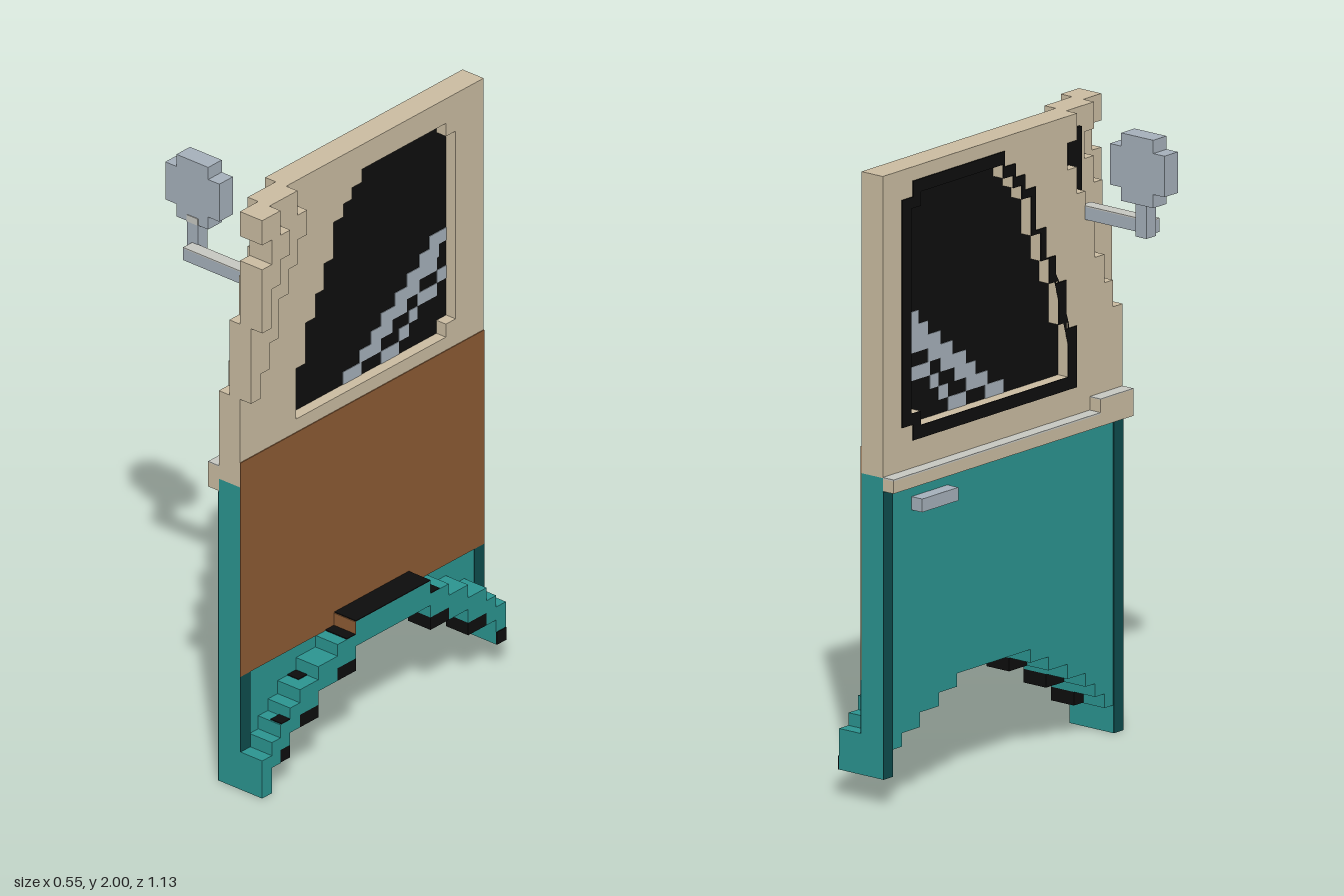
import * as THREE from 'three';

export function createModel() {
  const root = new THREE.Group();
  const mat = (name, color) => {
    const m = new THREE.MeshStandardMaterial({ color });
    m.name = name;
    return m;
  };
  const cream = mat('cream', 0xcabca1), teal = mat('teal', 0x2b9490), darkTeal = mat('darkTeal', 0x0d4c4d);
  const brown = mat('brown', 0x8c5b34), black = mat('black', 0x0d0d0d);
  const grey = mat('greyMetal', 0xa5b0ba), silver = mat('silver', 0xc6c7c1);

  // Adds a mesh; with "under" set, its downward faces take that second colour
  const add = (name, geo, m, under) => {
    if (under) {
      if (geo.index) geo = geo.toNonIndexed();
      geo.clearGroups();
      const n = geo.attributes.normal;
      for (let i = 0; i < n.count; i += 3) geo.addGroup(i, 3, n.getY(i) < -0.9 ? 1 : 0);
    }
    const mesh = new THREE.Mesh(geo, under ? [m, under] : m);
    mesh.name = name;
    root.add(mesh);
    return mesh;
  };
  // Box between two corners
  const box = (name, m, x0, x1, y0, y1, z0, z1, under) => add(name,
    new THREE.BoxGeometry(x1 - x0, y1 - y0, z1 - z0)
      .translate((x0 + x1) / 2, (y0 + y1) / 2, (z0 + z1) / 2), m, under);
  // Stepped path: start point, then alternating new y and new z values
  const stairs = (z, y, vals) => {
    const pts = [[z, y]];
    vals.forEach((v, i) => { if (i % 2) z = v; else y = v; pts.push([z, y]); });
    return pts;
  };
  const vecs = pts => pts.map(p => new THREE.Vector2(...p));
  // Layer cut from a (z, y) outline, spanning x0 to x1
  const layer = (name, m, x0, x1, pts, hole, under) => {
    const shape = new THREE.Shape(vecs(pts));
    if (hole) shape.holes.push(new THREE.Path(vecs(hole)));
    const g = new THREE.ExtrudeGeometry(shape, { depth: x1 - x0, bevelEnabled: false });
    return add(name, g.rotateY(-Math.PI / 2).translate(x1, 0, 0), m, under);
  };

  const X0 = 0.095, XM = 0.1375, X1 = 0.18, X2 = 0.225, X3 = 0.27, Z = 0.565;

  // Window outline, stepped along its front edge
  const win = stairs(0.305, 1.175, [1.35, 0.26, 1.49, 0.215, 1.57, 0.175, 1.66, 0.13, 1.785, 0.085,
    1.83, 0.045, 1.87, 0, 1.915, -0.39, 1.87, -0.435, 1.22, -0.39, 1.175]);
  // Stepped front pillar edges
  const edgeLow = stairs(0.565, 1.35, [1.35, 0.52, 1.435, 0.48, 1.525, 0.435, 1.66, 0.39, 1.745, 0.35,
    1.83, 0.305, 1.915, 0.35, 2]);
  const edgeHigh = stairs(0.565, 1.61, [1.61, 0.52, 1.745, 0.48, 1.83, 0.435, 1.915, 0.48, 2]);
  const back = [[-Z, 2], [-Z, 1.045], [Z, 1.045]];
  const notch = [[Z, 2], [Z, 1.915], [0.52, 1.915], [0.52, 1.83], [Z, 1.83]];
  layer('outerFrame', cream, X0, XM, [...edgeLow, ...back], win, black);
  layer('innerFrame', cream, XM, X1, [...edgeHigh, ...back], win);
  layer('pillarStep', cream, X1, X2, [...edgeLow, ...notch], null, black);
  layer('pillarTip', cream, X2, X3, [...edgeHigh, ...notch], null, black);
  box('pillarSeal', black, 0.127, 0.1375, 1.65, 1.94, 0.345, 0.41);

  // Glass, its outer seal and glints on both faces
  layer('glass', black, 0.133, 0.142, win);
  const grown = win.map(([z, y]) => [-0.065 + (z + 0.065) * 1.11, 1.545 + (y - 1.545) * 1.11]);
  layer('windowSeal', black, X0 - 0.004, X0, grown, win);
  const glints = [ // row, front z, back z
    [0, 0.045, -0.04], [1, -0.03, -0.13], [2, -0.085, -0.185], [3, -0.13, -0.25], [4, -0.195, -0.31],
    [5, -0.25, -0.39], [6, -0.31, -0.4], [7, -0.355, -0.435],
    [0, -0.13, -0.215], [1, -0.215, -0.26], [2, -0.26, -0.3], [3, -0.3, -0.39], [4, -0.39, -0.435]];
  for (const [r, za, zb] of glints) {
    const y = 1.175 + r * 0.0437;
    box('glint', grey, 0.131, 0.144, y, y + 0.0437, zb, za);
  }

  // Wheel arch columns: front z, back z, bottom, top, dark lower cell
  const front = [
    [0.565, 0.52, 0, 0.13, 0], [0.52, 0.48, 0.088, 0.175, 0], [0.48, 0.435, 0.09, 0.22, 1],
    [0.435, 0.39, 0.175, 0.26, 0], [0.39, 0.305, 0.175, 0.305, 1],
    [0.305, 0.215, 0.265, 0.35, 0], [0.215, 0.13, 0.265, 0.39, 1]];
  const rear = front.slice(2).reverse().map(([a, b, lo, hi, d]) => [-b - 0.085, -a - 0.085, lo, hi, d]);
  const columns = [...front, [0.13, -0.215, 0.35, 0.435, 0], ...rear];
  const lower = [[-Z, 1.045], [Z, 1.045]];
  columns.forEach(([a, b, lo, hi, dark], i) => {
    const last = i === columns.length - 1;
    const mid = lo + (dark ? 0.043 : 0);
    box('archFlare', teal, X1, X3, last ? lo : mid, hi, b, a, black);
    if (dark && last) box('archEdge', black, X3, X3 + 0.003, lo, mid, b, a);
    else if (dark) box('archEdge', black, X1, X3, lo, mid, b, a);
    lower.push([a, last ? lo : mid], [b, last ? lo : mid]);
  });
  layer('lowerDoor', teal, X0, X1, lower.reverse(), null, black);

  // Painted faces on the arch
  box('archTop', black, X1, X3, 0.435, 0.438, -0.215, 0.13);
  box('archTop', black, X1, X3, 0.39, 0.393, 0.13, 0.172);
  box('archTop', black, X1, X3, 0.39, 0.393, -0.258, -0.215);
  box('archTop', black, X1, X2, 0.305, 0.308, 0.305, 0.345);
  box('archTop', black, X2, X3, 0.22, 0.223, 0.435, 0.475);
  box('archFront', brown, X1, X3, 0.393, 0.435, 0.13, 0.133);

  // Inner trim panel and dark edge strips
  box('trimPanel', brown, X1, X1 + 0.003, 0.39, 1.13, -Z, Z);
  box('edgeStrip', darkTeal, X1, X1 + 0.003, 0.13, 0.39, 0.52, Z);
  box('edgeStrip', darkTeal, X1, X1 + 0.003, 0.22, 0.39, -Z, -0.52);
  box('edgeStrip', darkTeal, X0 - 0.003, X0, 0, 1.0, 0.52, Z);
  box('edgeStrip', darkTeal, X0 - 0.003, X0, 0.09, 1.0, -Z, -0.52);

  // Outer belt moulding and handle
  box('belt', cream, 0.052, X0, 1.003, 1.042, -Z, Z);
  box('beltTop', silver, 0.052, X0, 1.042, 1.047, -Z, 0.41);
  box('beltEnd', cream, 0.052, X0, 1.042, 1.087, 0.41, Z);
  box('beltEndTop', silver, 0.052, X0, 1.087, 1.09, 0.41, Z);
  box('handle', grey, 0.052, X0, 0.915, 0.957, -0.43, -0.26);

  // Wing mirror on its arm
  const mz0 = 0.325, mz1 = 0.388;
  box('mirror', grey, -0.275, -0.057, 1.808, 1.938, mz0, mz1);
  box('mirror', grey, -0.23, -0.102, 1.938, 1.98, mz0, mz1);
  box('mirror', grey, -0.23, -0.102, 1.765, 1.808, mz0, mz1);
  box('mirrorStem', grey, -0.186, -0.142, 1.655, 1.765, 0.345, 0.39);
  box('stemTip', silver, -0.186, -0.142, 1.765, 1.788, 0.345, 0.391);
  box('mirrorArm', grey, -0.165, 0.11, 1.655, 1.695, 0.388, 0.432);
  box('mirrorArmTop', silver, -0.165, 0.11, 1.695, 1.699, 0.388, 0.432);
  return root;
}
